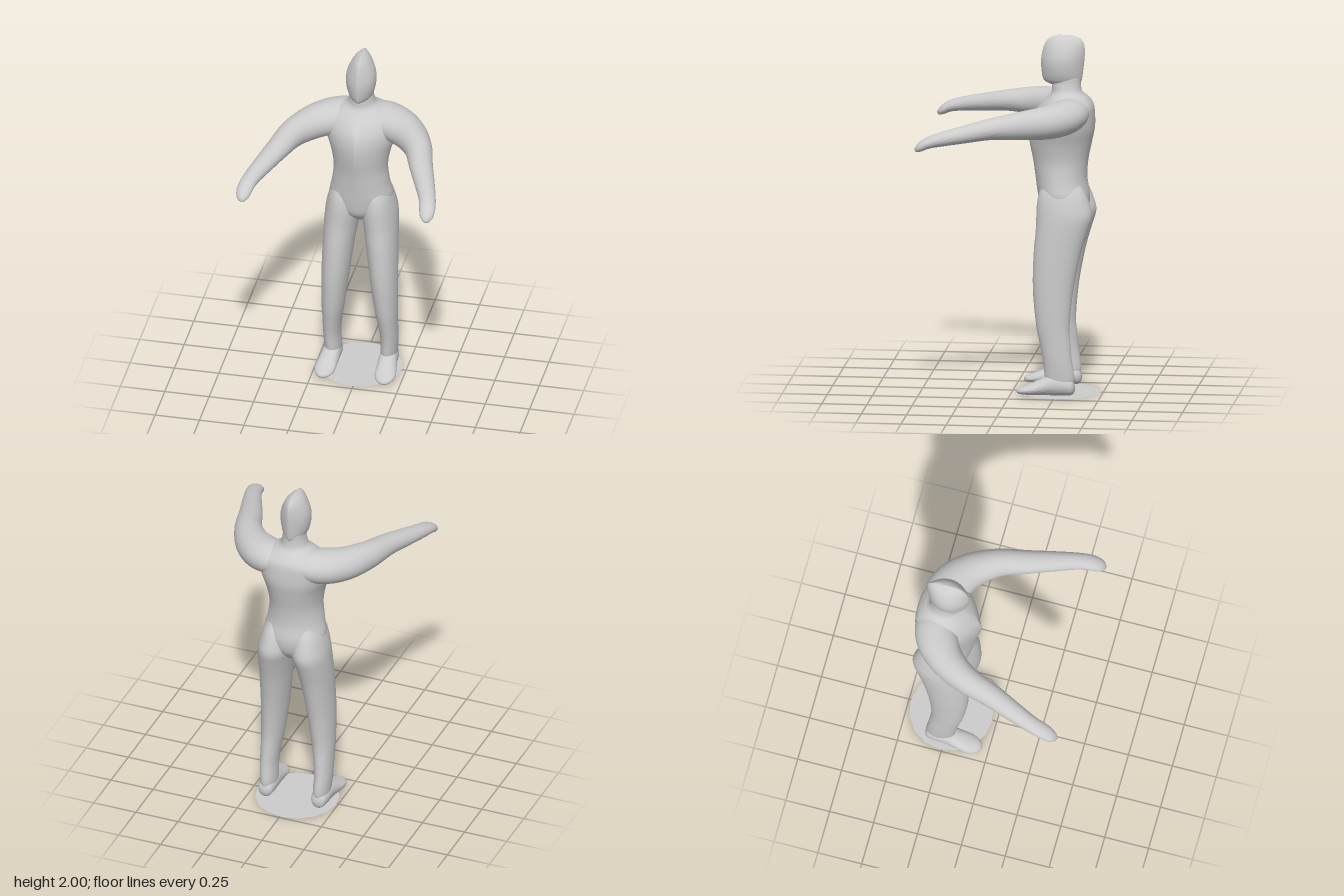
import * as THREE from 'three';
import { toCreasedNormals } from 'three/addons/utils/BufferGeometryUtils.js';

const SIDES = 40;
const material = new THREE.MeshStandardMaterial({ color: 0xcccccc });

// Catmull-Rom interpolation of rows of section numbers
function refine(rows, steps) {
  const out = [];
  const at = (i) => rows[Math.max(0, Math.min(rows.length - 1, i))];
  for (let i = 0; i < rows.length - 1; i++) {
    for (let s = 0; s < steps; s++) {
      const t = s / steps;
      out.push(rows[i].map((b, k) => {
        const a = at(i - 1)[k], c = at(i + 1)[k], d = at(i + 2)[k];
        return b + 0.5 * t * (c - a + t * (2 * a - 5 * b + 4 * c - d + t * (3 * (b - c) + d - a)));
      }));
    }
  }
  out.push(rows[rows.length - 1]);
  return out;
}

// Skin closed rings of points and close both ends with a fan
function loft(rings) {
  const pos = [], idx = [];
  const n = rings.length;
  rings.forEach((r) => r.forEach((p) => pos.push(p.x, p.y, p.z)));
  for (let i = 0; i < n - 1; i++) {
    for (let j = 0; j < SIDES; j++) {
      const k = (j + 1) % SIDES;
      const a = i * SIDES + j, b = i * SIDES + k;
      idx.push(a, b, a + SIDES, b, b + SIDES, a + SIDES);
    }
  }
  [0, n - 1].forEach((i) => {
    const c = new THREE.Vector3();
    rings[i].forEach((p) => c.addScaledVector(p, 1 / SIDES));
    const centre = pos.length / 3;
    pos.push(c.x, c.y, c.z);
    for (let j = 0; j < SIDES; j++) {
      const a = i * SIDES + j, b = i * SIDES + ((j + 1) % SIDES);
      if (i === 0) idx.push(centre, b, a);
      else idx.push(centre, a, b);
    }
  });
  const geo = new THREE.BufferGeometry();
  geo.setAttribute('position', new THREE.Float32BufferAttribute(pos, 3));
  geo.setIndex(idx);
  return toCreasedNormals(geo, 0.6);
}

// Upright form: [y, centreX, halfWidth, zFront, zBack, frontPower, backPower]
// A power of 1 is round, about 2 meets in a ridge at the middle.
function uprightLoft(rows, steps = 5) {
  return loft(refine(rows, steps).map(([y, cx, w, zf, zb, pf, pb]) => {
    const ring = [];
    for (let j = 0; j < SIDES; j++) {
      const a = (j / SIDES) * Math.PI * 2;
      const s = Math.sin(a), c = Math.cos(a);
      const x = w * Math.sign(s) * Math.abs(s) ** (c > 0 ? pf : pb);
      ring.push(new THREE.Vector3(cx + x, y, (zf + zb) / 2 + c * (zf - zb) / 2));
    }
    return ring;
  }));
}

// Form along a path: [x, y, z, halfWidth, halfHeight]
function pathLoft(rows, steps = 5) {
  const list = refine(rows, steps);
  return loft(list.map(([x, y, z, w, h], i) => {
    const p = list[Math.max(0, i - 1)], q = list[Math.min(list.length - 1, i + 1)];
    const side = new THREE.Vector3(q[2] - p[2], 0, p[0] - q[0]).normalize();
    const ring = [];
    for (let j = 0; j < SIDES; j++) {
      const a = (j / SIDES) * Math.PI * 2;
      const v = side.clone().multiplyScalar(w * Math.cos(a));
      ring.push(v.add(new THREE.Vector3(x, y + h * Math.sin(a), z)));
    }
    return ring;
  }));
}

export function createModel() {
  const group = new THREE.Group();
  const figure = new THREE.Group();
  figure.name = 'figure';
  figure.position.x = -0.008;
  group.add(figure);

  const add = (parent, name, geo, mirrored = false) => {
    const mesh = new THREE.Mesh(geo, material);
    mesh.name = name;
    if (mirrored) mesh.scale.x = -1;
    parent.add(mesh);
  };
  const addPair = (parent, name, geo) => {
    add(parent, 'left' + name, geo);
    add(parent, 'right' + name, geo, true);
  };

  // Pelvis, waist, chest and neck, with a ridge down the front
  add(figure, 'torso', uprightLoft([
    [0.96, 0, 0.03, -0.22, -0.36, 1, 1],
    [1.02, 0, 0.13, -0.16, -0.41, 1, 1],
    [1.10, 0, 0.176, -0.14, -0.425, 1.05, 1],
    [1.20, 0, 0.16, -0.125, -0.41, 1.2, 0.95],
    [1.30, 0, 0.15, -0.11, -0.415, 1.4, 0.9],
    [1.40, 0, 0.165, -0.09, -0.435, 1.7, 0.85],
    [1.48, 0, 0.19, -0.086, -0.45, 1.9, 0.8],
    [1.55, 0, 0.205, -0.105, -0.45, 1.9, 0.8],
    [1.61, 0, 0.195, -0.15, -0.442, 1.6, 0.8],
    [1.65, 0, 0.14, -0.19, -0.415, 1.3, 0.9],
    [1.68, 0, 0.085, -0.212, -0.385, 1.2, 1],
    [1.72, 0, 0.067, -0.215, -0.375, 1.2, 1],
    [1.78, 0, 0.06, -0.22, -0.375, 1.2, 1],
  ]));

  // Head, lens shaped in plan with a ridge over the crown
  add(figure, 'head', uprightLoft([
    [1.725, 0, 0.035, -0.205, -0.36, 1.5, 1.2],
    [1.745, 0, 0.06, -0.17, -0.378, 1.6, 1.3],
    [1.79, 0, 0.077, -0.158, -0.386, 1.6, 1.4],
    [1.85, 0, 0.084, -0.154, -0.393, 1.6, 1.5],
    [1.90, 0, 0.077, -0.16, -0.397, 1.7, 1.6],
    [1.95, 0, 0.056, -0.175, -0.393, 1.7, 1.6],
    [1.98, 0, 0.034, -0.198, -0.375, 1.7, 1.6],
    [1.994, 0, 0.015, -0.225, -0.345, 1.7, 1.6],
    [2.0, 0, 0.001, -0.25, -0.30, 1.7, 1.6],
  ]));

  // Legs, running up into the hips
  addPair(figure, 'Leg', uprightLoft([
    [0.05, 0.157, 0.04, -0.21, -0.345, 1, 1],
    [0.10, 0.157, 0.046, -0.195, -0.358, 1, 1],
    [0.20, 0.161, 0.048, -0.185, -0.345, 1, 1],
    [0.30, 0.156, 0.054, -0.165, -0.335, 1, 1],
    [0.40, 0.149, 0.063, -0.145, -0.33, 1, 1],
    [0.60, 0.136, 0.076, -0.125, -0.35, 1, 1],
    [0.80, 0.122, 0.087, -0.128, -0.39, 1, 1],
    [0.92, 0.111, 0.095, -0.138, -0.425, 1, 1],
    [1.00, 0.101, 0.1, -0.14, -0.448, 1, 1],
    [1.06, 0.096, 0.094, -0.142, -0.438, 1, 1],
    [1.13, 0.092, 0.078, -0.155, -0.412, 1, 1],
    [1.20, 0.085, 0.05, -0.19, -0.37, 1, 1],
  ], 4));

  // Feet, from heel to toe
  addPair(figure, 'Foot', pathLoft([
    [0.157, 0.05, -0.36, 0.012, 0.015],
    [0.157, 0.055, -0.345, 0.038, 0.043],
    [0.158, 0.064, -0.30, 0.049, 0.056],
    [0.16, 0.066, -0.23, 0.052, 0.058],
    [0.165, 0.053, -0.17, 0.056, 0.044],
    [0.17, 0.04, -0.11, 0.058, 0.03],
    [0.17, 0.034, -0.07, 0.046, 0.021],
    [0.169, 0.031, -0.048, 0.028, 0.014],
    [0.168, 0.03, -0.038, 0.004, 0.003],
  ]));

  // Arms sweeping out from the shoulders and forward to mitten hands
  addPair(group, 'Arm', pathLoft([
    [0.03, 1.585, -0.33, 0.08, 0.06],
    [0.10, 1.577, -0.325, 0.11, 0.088],
    [0.19, 1.567, -0.285, 0.113, 0.095],
    [0.28, 1.56, -0.205, 0.096, 0.09],
    [0.355, 1.557, -0.08, 0.077, 0.078],
    [0.403, 1.546, 0.07, 0.066, 0.06],
    [0.45, 1.525, 0.20, 0.057, 0.05],
    [0.492, 1.504, 0.32, 0.048, 0.041],
    [0.511, 1.486, 0.40, 0.045, 0.034],
    [0.517, 1.465, 0.445, 0.039, 0.03],
    [0.519, 1.45, 0.472, 0.024, 0.019],
    [0.52, 1.444, 0.484, 0.003, 0.003],
  ]));

  // Thin faceted disc under the feet
  const disc = new THREE.Mesh(
    new THREE.CircleGeometry(0.233, 16).rotateX(-Math.PI / 2),
    new THREE.MeshStandardMaterial({ color: 0xcccccc, side: THREE.DoubleSide }),
  );
  disc.name = 'groundDisc';
  disc.position.set(-0.008, 0, -0.257);
  group.add(disc);

  return group;
}
